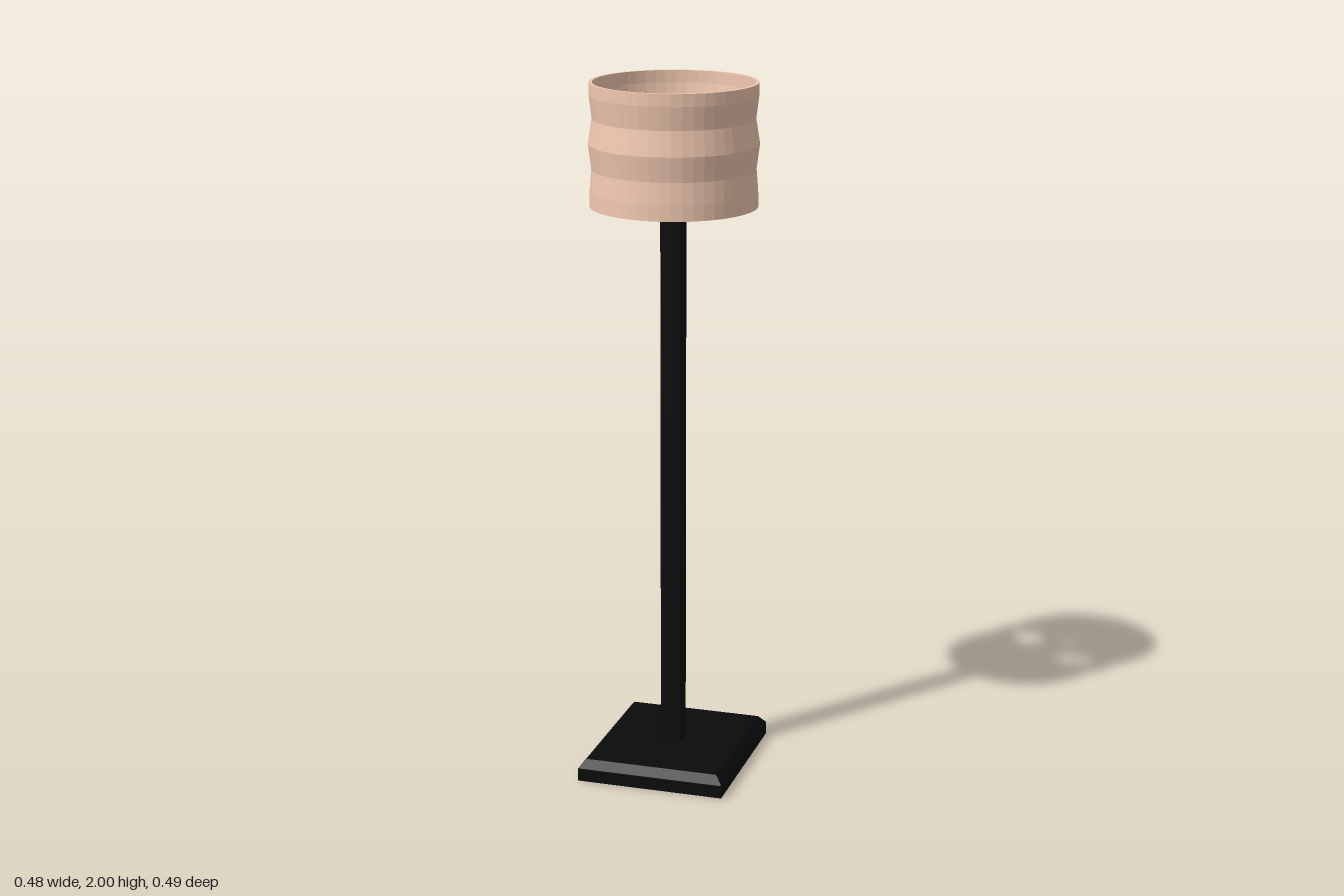
import * as THREE from 'three';

const black = new THREE.MeshStandardMaterial({ color: 0x0b0b0b, flatShading: true });
const fabric = new THREE.MeshStandardMaterial({ color: 0xf0c8b0, flatShading: true, side: THREE.DoubleSide });
const grey = new THREE.MeshStandardMaterial({ color: 0xcccccc, flatShading: true });

function add(group, name, geometry, material, x = 0, y = 0, z = 0) {
  const mesh = new THREE.Mesh(geometry, material);
  mesh.name = name;
  mesh.position.set(x, y, z);
  group.add(mesh);
  return mesh;
}

// Box whose top edge is chamfered: the upper row of vertices is pulled inward
function chamferedSlab(w, h, d, chamfer) {
  const g = new THREE.BoxGeometry(w, h, d, 1, 2, 1);
  const p = g.attributes.position;
  for (let i = 0; i < p.count; i++) {
    const y = p.getY(i);
    if (y > h / 4) {
      p.setX(i, p.getX(i) - Math.sign(p.getX(i)) * chamfer);
      p.setZ(i, p.getZ(i) - Math.sign(p.getZ(i)) * chamfer);
    } else if (y > -h / 4) {
      p.setY(i, h / 2 - chamfer * 1.2);
    }
  }
  g.computeVertexNormals();
  return g;
}

export function createModel() {
  const lamp = new THREE.Group();
  lamp.name = 'floorLamp';

  // Base and square pole
  add(lamp, 'base', chamferedSlab(0.43, 0.062, 0.494, 0.02), black, 0.002, 0.031, -0.001);
  add(lamp, 'pole', new THREE.BoxGeometry(0.058, 1.77, 0.06), black, 0, 0.935, 0);

  // Crossed arms carrying the shade
  add(lamp, 'sideArm', new THREE.BoxGeometry(0.4, 0.055, 0.06), black, 0, 1.808, -0.003);
  add(lamp, 'depthArm', new THREE.BoxGeometry(0.06, 0.03, 0.444), black, 0, 1.808, -0.003);

  // Round bulb
  add(lamp, 'bulb', new THREE.SphereGeometry(0.046, 24, 16), grey, 0.002, 1.834, -0.005);

  // Wavy drum shade: outer wall up, inner wall back down
  const outer = [
    [0.235, 1.655], [0.234, 1.7], [0.229, 1.76], [0.238, 1.83],
    [0.227, 1.9], [0.235, 1.965], [0.235, 2],
  ];
  const inner = outer.map(([r, y]) => [r - 0.01, y]).reverse();
  const profile = [...outer, ...inner, outer[0]].map(([r, y]) => new THREE.Vector2(r, y));
  add(lamp, 'shade', new THREE.LatheGeometry(profile, 48), fabric, 0, 0, -0.005);

  return lamp;
}
